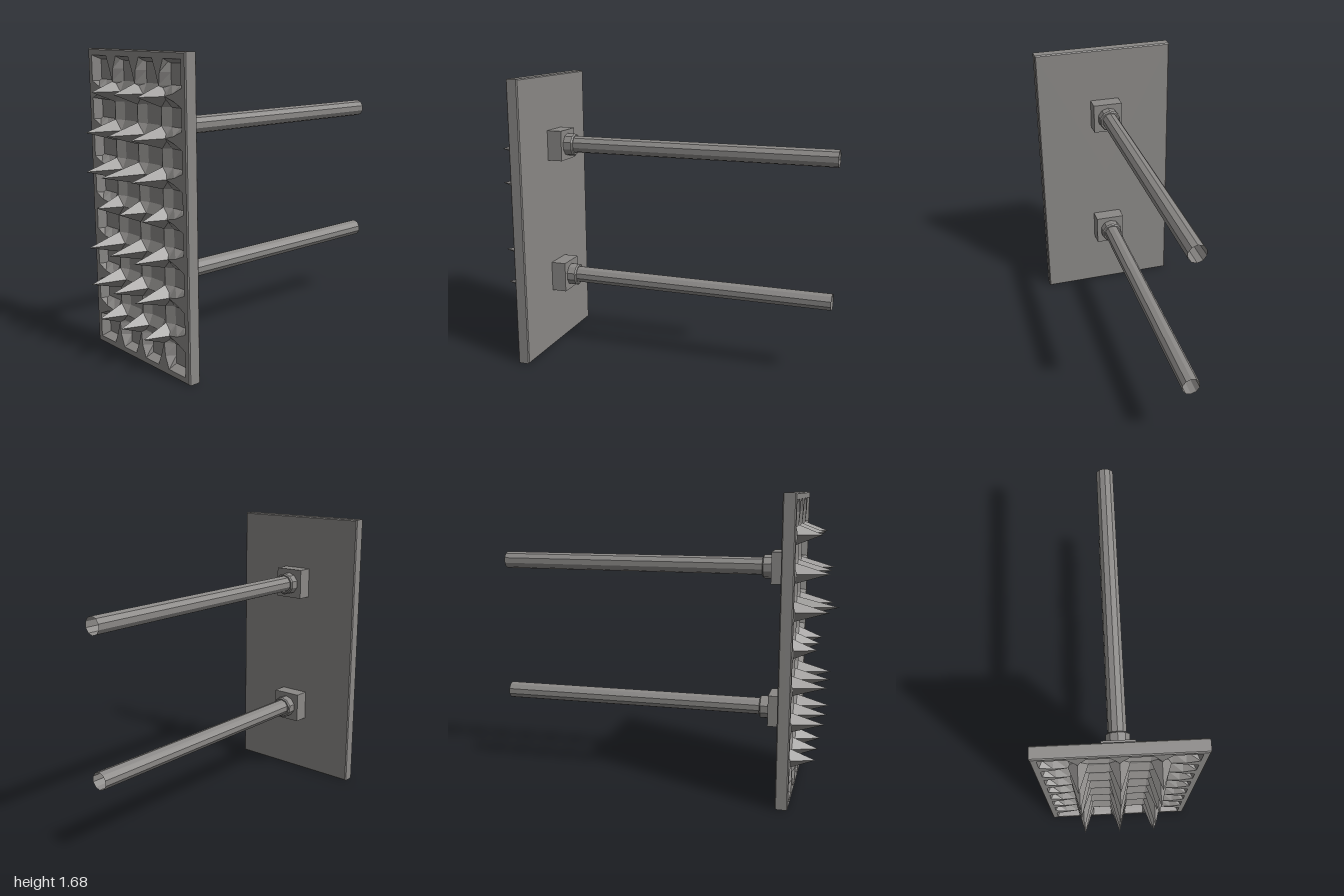
import * as THREE from 'three';

const FRONT = 0.785, BACK = 0.715, FLOOR = 0.738, RIDGE = 0.765;
const MID_Y = 0.8425;
const COLUMNS = [-0.205, 0, 0.205];
const ROW_STEP = 0.2075;
// tip depth of each spike row, bottom to top
const TIPS = [0.91, 0.955, 0.965, 0.9, 1.0, 0.955, 0.91];

// joins successive closed loops of [x, y, z] points with quads
function loft(loops) {
  const pos = [];
  for (let i = 0; i < loops.length - 1; i++) {
    const a = loops[i], b = loops[i + 1], n = a.length;
    for (let j = 0; j < n; j++) {
      const k = (j + 1) % n;
      pos.push(...a[j], ...a[k], ...b[k], ...a[j], ...b[k], ...b[j]);
    }
  }
  const g = new THREE.BufferGeometry();
  g.setAttribute('position', new THREE.Float32BufferAttribute(pos, 3));
  g.computeVertexNormals();
  return g;
}

// rectangular ring for the plate
const rect = (x, y, z) => [[-x, -y, z], [x, -y, z], [x, y, z], [-x, y, z]];

// ridge along x: flat tabs at the rim tapering to a sharp, lower crest between spikes
function ridgeGeometry(rim, inner, base) {
  const start = inner + 0.052;
  const half = [
    [rim, FRONT, 0.046],
    [(rim + start) / 2, FRONT, 0.017],
    [start, FRONT - 0.005, 0.002],
    [inner, RIDGE, 0.0005],
  ];
  const stations = [
    ...half.map(([x, z, w]) => [-x, z, w]),
    ...half.slice().reverse(),
  ];
  return loft(stations.map(([x, z, w]) =>
    [[x, -base, FLOOR], [x, base, FLOOR], [x, w, z], [x, -w, z]]));
}

export function createModel() {
  const model = new THREE.Group();
  const steel = new THREE.MeshStandardMaterial({ color: 0x8a8886 });
  steel.name = 'grey steel';
  steel.flatShading = true;
  steel.side = THREE.DoubleSide;

  const add = (name, geometry, x = 0, y = 0, z = 0, parent = model) => {
    const mesh = new THREE.Mesh(geometry, steel);
    mesh.name = name;
    mesh.position.set(x, y, z);
    parent.add(mesh);
    return mesh;
  };

  // plate with softened edges, raised rim and sunken front
  add('plate', loft([
    rect(0, 0, BACK),
    rect(0.419, 0.8365, BACK),
    rect(0.425, MID_Y, BACK + 0.006),
    rect(0.425, MID_Y, FRONT - 0.006),
    rect(0.419, 0.8365, FRONT),
    rect(0.39, 0.8075, FRONT),
    rect(0.37, 0.785, FLOOR),
    rect(0, 0, FLOOR),
  ]), 0, MID_Y, 0);

  // ridges dividing the sunken cells
  const rowRidge = ridgeGeometry(0.39, 0.205, 0.055);
  const columnRidge = ridgeGeometry(0.8075, ROW_STEP * 3, 0.05).rotateZ(Math.PI / 2);
  for (const x of COLUMNS) add('columnRidge', columnRidge, x, MID_Y, 0);

  // four-sided spikes at every ridge crossing
  TIPS.forEach((tip, row) => {
    const y = MID_Y + (row - 3) * ROW_STEP;
    add('rowRidge', rowRidge, 0, y, 0);
    for (const x of COLUMNS) {
      const end = x === 0 ? tip : Math.min(tip, 0.96);
      const profile = [[0.1, FLOOR], [0.053, RIDGE], [0, end]]
        .map(([r, h]) => new THREE.Vector2(r, h));
      const spike = new THREE.LatheGeometry(profile, 4).rotateX(Math.PI / 2).scale(1, 1.08, 1);
      add('spike', spike, x, y, 0);
    }
  });

  // push rods with collar and mounting block
  const block = new THREE.BoxGeometry(0.18, 0.18, 0.09);
  const collar = new THREE.LatheGeometry(
    [[0.05, -1], [0.06, -1], [0.067, -0.993], [0.067, -0.94], [0.05, -0.94]]
      .map(([r, h]) => new THREE.Vector2(r, h + 1.57)), 10).rotateX(Math.PI / 2);
  const rod = new THREE.CylinderGeometry(0.05, 0.05, 1.58, 10, 1, true).rotateX(Math.PI / 2);
  for (const y of [0.45, 1.27]) {
    const arm = new THREE.Group();
    arm.name = 'pushRod';
    arm.position.y = y;
    model.add(arm);
    add('mountBlock', block, 0, 0, 0.67, arm);
    add('collar', collar, 0, 0, 0, arm);
    add('rod', rod, 0, 0.003, -0.21, arm);
  }
  return model;
}
